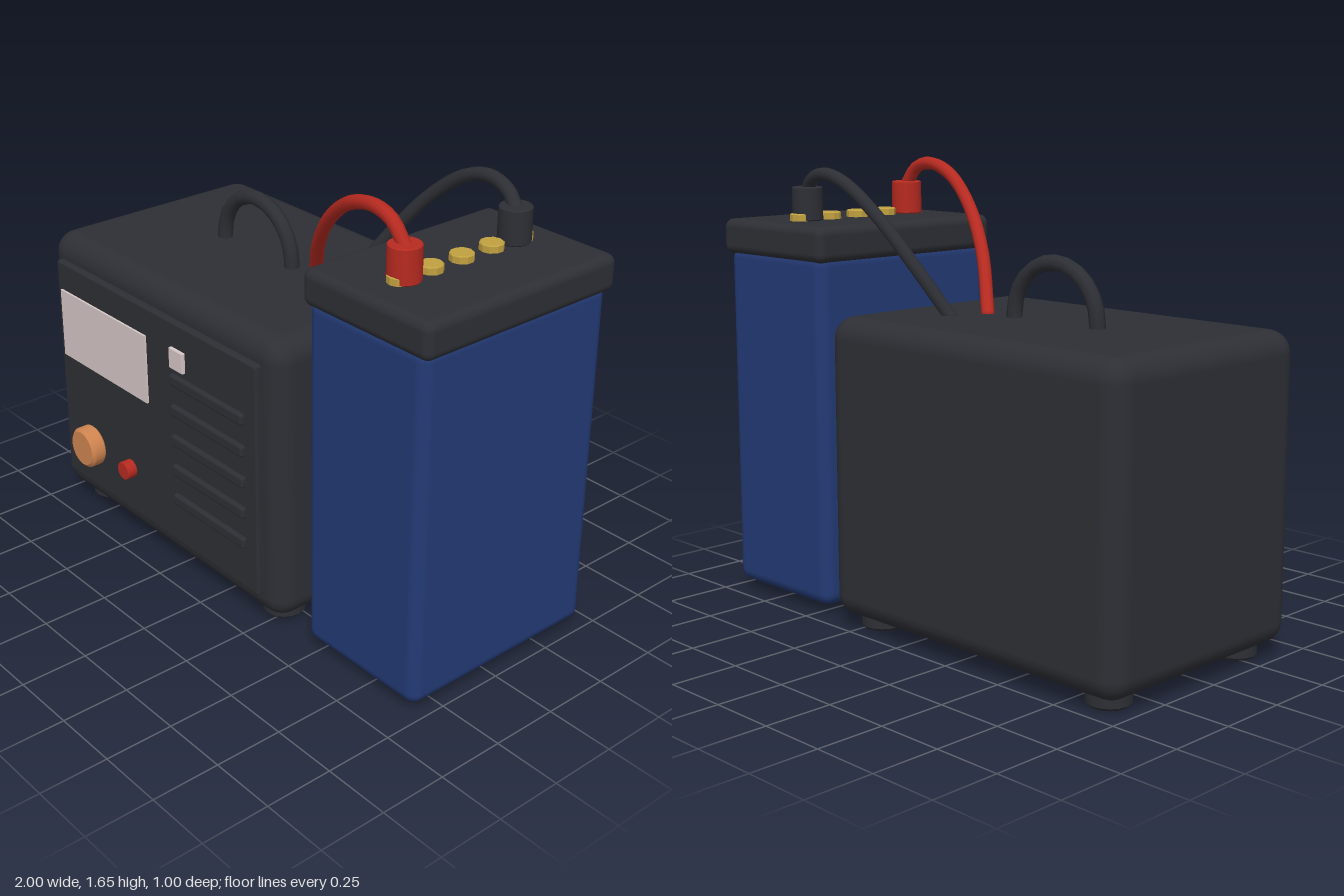
import * as THREE from 'three';
import { toCreasedNormals } from 'three/addons/utils/BufferGeometryUtils.js';
import { RoundedBoxGeometry } from 'three/addons/geometries/RoundedBoxGeometry.js';

const material = (name, color) => {
  const m = new THREE.MeshStandardMaterial({ color });
  m.name = name;
  return m;
};

export function createModel() {
  const charcoal = material('charcoal', 0x2e2f35);
  const blue = material('battery blue', 0x233a75);
  const red = material('signal red', 0xb62a20);
  const orange = material('knob orange', 0xd08550);
  const pale = material('display grey', 0xd6c6c6);
  const gold = material('brass', 0xc0a040);

  const model = new THREE.Group();
  model.name = 'chargerAndBattery';
  const charger = new THREE.Group();
  charger.name = 'charger';
  const battery = new THREE.Group();
  battery.name = 'battery';
  model.add(charger, battery);

  const add = (parent, name, geometry, mat, x = 0, y = 0, z = 0) => {
    const mesh = new THREE.Mesh(geometry, mat);
    mesh.name = name;
    mesh.position.set(x, y, z);
    parent.add(mesh);
    return mesh;
  };

  // Rounded box given by its min and max on each axis
  const box = (parent, name, mat, [x0, x1], [y0, y1], [z0, z1], radius, segments = 3) =>
    add(parent, name, new RoundedBoxGeometry(x1 - x0, y1 - y0, z1 - z0, segments, radius), mat,
      (x0 + x1) / 2, (y0 + y1) / 2, (z0 + z1) / 2);

  // Cylinder along y with bevelled rims, base at y = 0
  const disc = (r, h, bevel, sides) => toCreasedNormals(new THREE.LatheGeometry([
    [0, 0], [r - bevel, 0], [r, bevel], [r, h - bevel], [r - bevel, h], [0, h],
  ].map(([x, y]) => new THREE.Vector2(x, y)), sides), 0.6);

  // Charger housing and raised front panel
  box(charger, 'housing', charcoal, [-1, 0.355], [0.045, 1.13], [-0.5, 0.42], 0.08, 4);
  box(charger, 'frontPanel', charcoal, [-0.92, 0.27], [0.14, 1.04], [0.40, 0.445], 0.01, 2);

  // Display and indicator
  add(charger, 'display', new THREE.BoxGeometry(0.54, 0.27, 0.009), pale, -0.62, 0.795, 0.449);
  box(charger, 'indicator', pale, [-0.2, -0.12], [0.865, 0.945], [0.435, 0.458], 0.004, 1);

  // Ventilation ribs
  for (let i = 0; i < 5; i++) {
    const y = 0.82 - i * 0.122;
    box(charger, 'ventRib', charcoal, [-0.2, 0.21], [y - 0.022, y + 0.022], [0.43, 0.463], 0.01, 2);
  }

  // Dial and push button
  add(charger, 'dial', disc(0.08, 0.065, 0.012, 24), orange, -0.73, 0.33, 0.44).rotation.x = Math.PI / 2;
  add(charger, 'pushButton', disc(0.036, 0.045, 0.003, 16), red, -0.485, 0.33, 0.44).rotation.x = Math.PI / 2;

  // Feet
  for (const x of [-0.865, 0.22])
    for (const z of [0.285, -0.365])
      add(charger, 'foot', disc(0.078, 0.065, 0.01, 16), charcoal, x, 0, z);

  // Carrying handle
  add(charger, 'handle', new THREE.TorusGeometry(0.193, 0.028, 8, 12, Math.PI), charcoal, -0.325, 1.142, -0.05);
  for (const side of [-1, 1])
    add(charger, 'handleEnd', new THREE.CylinderGeometry(0.028, 0.028, 0.04, 8), charcoal,
      -0.325 + side * 0.193, 1.125, -0.05);

  // Battery case and lid
  box(battery, 'case', blue, [0.44, 0.98], [0.03, 1.33], [-0.45, 0.37], 0.045);
  box(battery, 'lid', charcoal, [0.425, 1], [1.3, 1.43], [-0.463, 0.382], 0.032);

  // Row of terminals
  for (let i = 0; i < 5; i++)
    add(battery, 'terminal', disc(0.042, 0.04, 0.004, 10), gold, 0.71, 1.417, 0.225 - i * 0.135);

  // Cable connectors and cables
  const cables = [
    ['positive', red, 0.205, [[0, 1.13, -0.05], [0.13, 1.33, 0.05], [0.27, 1.485, 0.12],
      [0.42, 1.59, 0.168], [0.56, 1.628, 0.194], [0.65, 1.608, 0.203], [0.71, 1.54, 0.205]]],
    ['negative', charcoal, -0.285, [[0.055, 1.125, -0.18], [0.18, 1.315, -0.25], [0.31, 1.47, -0.295],
      [0.45, 1.575, -0.315], [0.57, 1.606, -0.313], [0.66, 1.585, -0.3], [0.71, 1.54, -0.285]]],
  ];
  for (const [name, mat, z, points] of cables) {
    add(model, name + 'Connector', disc(0.057, 0.124, 0.004, 16), mat, 0.71, 1.43, z);
    const path = new THREE.CatmullRomCurve3(points.map((p) => new THREE.Vector3(...p)));
    add(model, name + 'Cable', new THREE.TubeGeometry(path, 32, 0.024, 10), mat);
    // Rounded cable end where it meets the housing
    add(model, name + 'CableEnd', new THREE.SphereGeometry(0.024, 10, 8), mat, ...points[0]);
  }

  return model;
}
